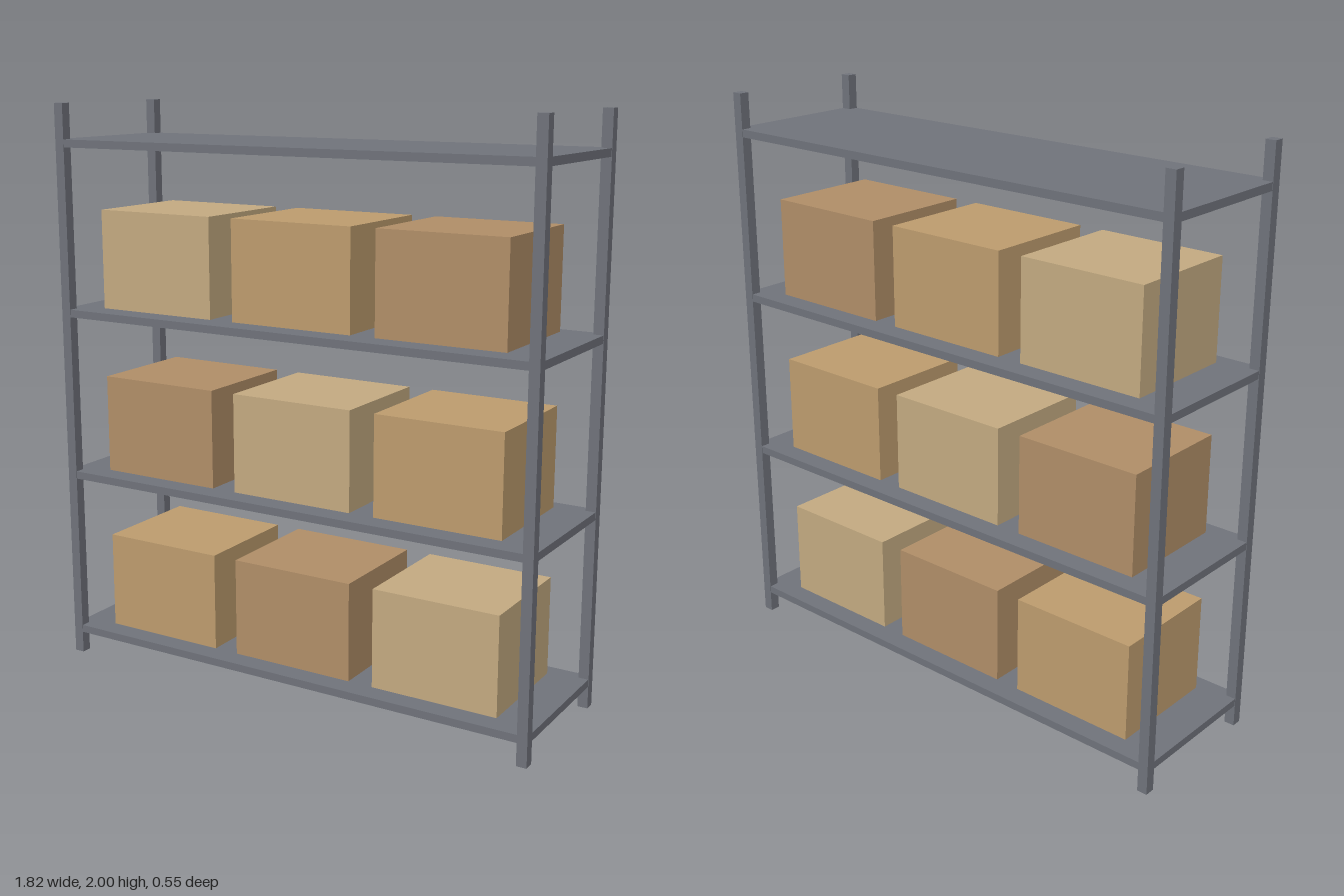
import * as THREE from 'three';

export function createModel() {
  const model = new THREE.Group();
  model.name = 'storageRack';

  const steel = new THREE.MeshStandardMaterial({ color: 0x6f727a });
  const cardboard = [0xc2a980, 0xbc9b6d, 0xaf8d67].map(
    (color) => new THREE.MeshStandardMaterial({ color })
  );

  const addBox = (name, size, position, material) => {
    const mesh = new THREE.Mesh(new THREE.BoxGeometry(...size), material);
    mesh.name = name;
    mesh.position.set(...position);
    model.add(mesh);
  };

  // Four corner posts
  const post = 0.036;
  for (const [side, sx] of [['Left', 1], ['Right', -1]]) {
    for (const [end, sz] of [['front', 1], ['back', -1]]) {
      addBox(`${end}${side}Post`, [post, 2, post], [sx * 0.891, 1, sz * 0.255], steel);
    }
  }

  // Four shelves, a hair inside the outer post faces
  const shelfY = (row) => 0.091 + row * 0.591;
  for (let row = 0; row < 4; row++) {
    addBox(`shelf${row + 1}`, [1.815, 0.027, 0.543], [0, shelfY(row), 0], steel);
  }

  // Three cartons on each of the lower shelves, colours shifting by row
  const height = 0.346;
  for (let row = 0; row < 3; row++) {
    for (let col = 0; col < 3; col++) {
      addBox(
        `carton${row + 1}_${col + 1}`,
        [0.455, height, 0.409],
        [(col - 1) * 0.545, shelfY(row) + 0.018 + height / 2, 0],
        cardboard[(row + col + 1) % 3]
      );
    }
  }

  return model;
}
